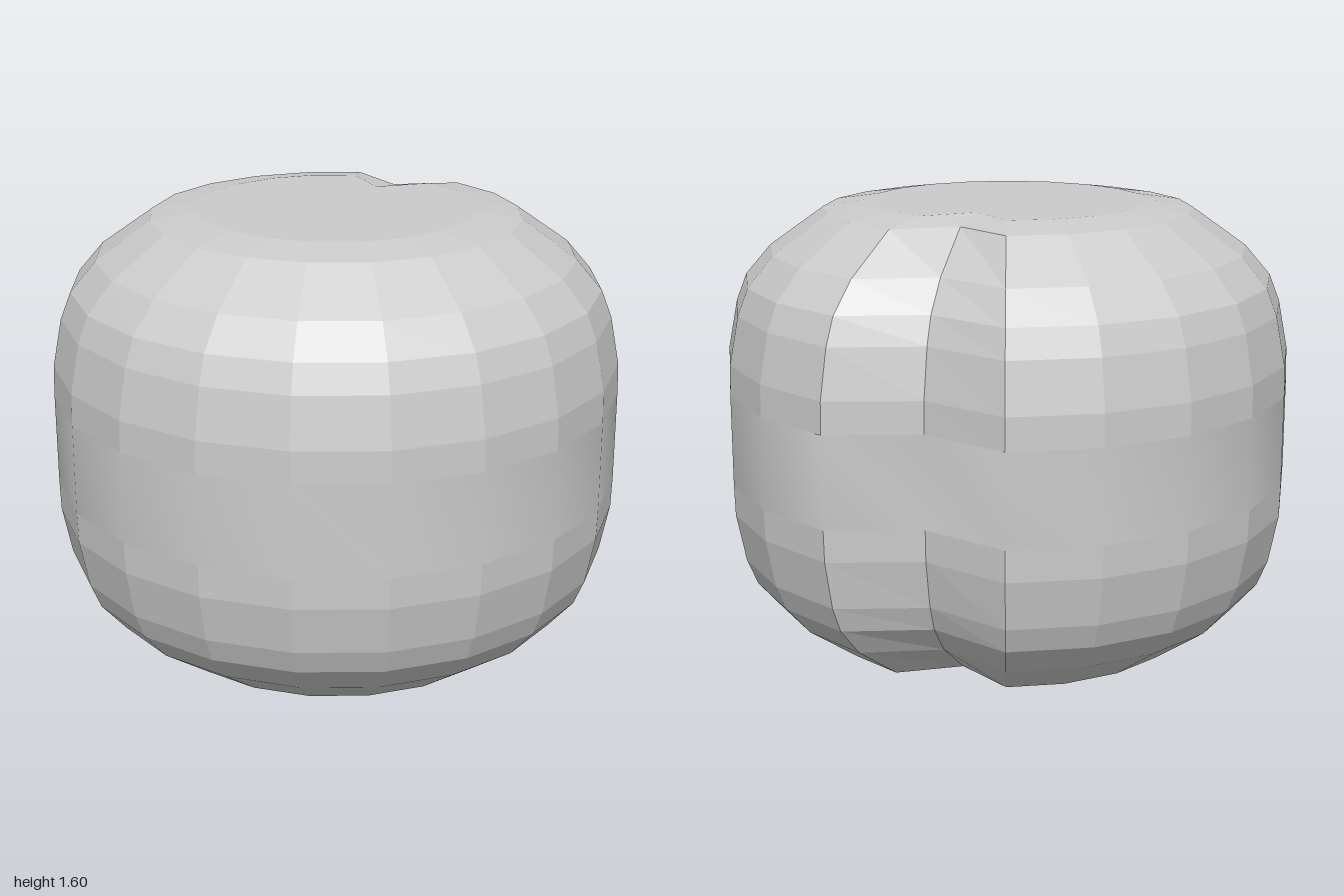
import * as THREE from 'three';

const SIDES = 20;
const NOTCH_COLUMN = 18;  // the one column pressed inwards
const NOTCH_DEPTH = 0.16;
const TURN = THREE.MathUtils.degToRad(4.3);

// Profiles as [radius, height], from bottom to top
const LOWER = [[0, 0], [0.49, 0], [0.65, 0.03], [0.84, 0.165], [0.93, 0.27], [0.967, 0.36], [1.0, 0.53], [1.003, 0.64]];
const BAND = [[1.003, 0.64], [1.003, 0.96]];
const UPPER = [[1.003, 0.96], [1.0, 1.07], [0.967, 1.24], [0.93, 1.335], [0.84, 1.44], [0.65, 1.575], [0.49, 1.6], [0, 1.6]];

// Sweeps a profile round the y axis, with the notch column set back
function sweep(profile) {
  const positions = [];
  const index = [];
  for (const [radius, y] of profile) {
    for (let k = 0; k < SIDES; k++) {
      const r = k === NOTCH_COLUMN ? Math.max(0, radius - NOTCH_DEPTH) : radius;
      const a = TURN + (k / SIDES) * Math.PI * 2;
      positions.push(r * Math.cos(a), y, r * Math.sin(a));
    }
  }
  for (let i = 0; i < profile.length - 1; i++) {
    for (let k = 0; k < SIDES; k++) {
      const next = (k + 1) % SIDES;
      const a = i * SIDES + k, b = i * SIDES + next;
      const c = a + SIDES, d = b + SIDES;
      // Rings of zero radius close into a fan
      if (profile[i + 1][0] > 0) index.push(a, c, d);
      if (profile[i][0] > 0) index.push(a, d, b);
    }
  }
  const geometry = new THREE.BufferGeometry();
  geometry.setAttribute('position', new THREE.Float32BufferAttribute(positions, 3));
  geometry.setIndex(index);
  geometry.computeVertexNormals();
  return geometry;
}

export function createModel() {
  const model = new THREE.Group();
  model.name = 'notchedBarrel';

  const flat = new THREE.MeshStandardMaterial({ color: 0xcccccc, flatShading: true });
  const smooth = new THREE.MeshStandardMaterial({ color: 0xcccccc });

  const add = (name, profile, material) => {
    const mesh = new THREE.Mesh(sweep(profile), material);
    mesh.name = name;
    model.add(mesh);
  };

  add('lowerBody', LOWER, flat);
  add('middleBand', BAND, smooth); // smooth round the waist
  add('upperBody', UPPER, flat);

  return model;
}
